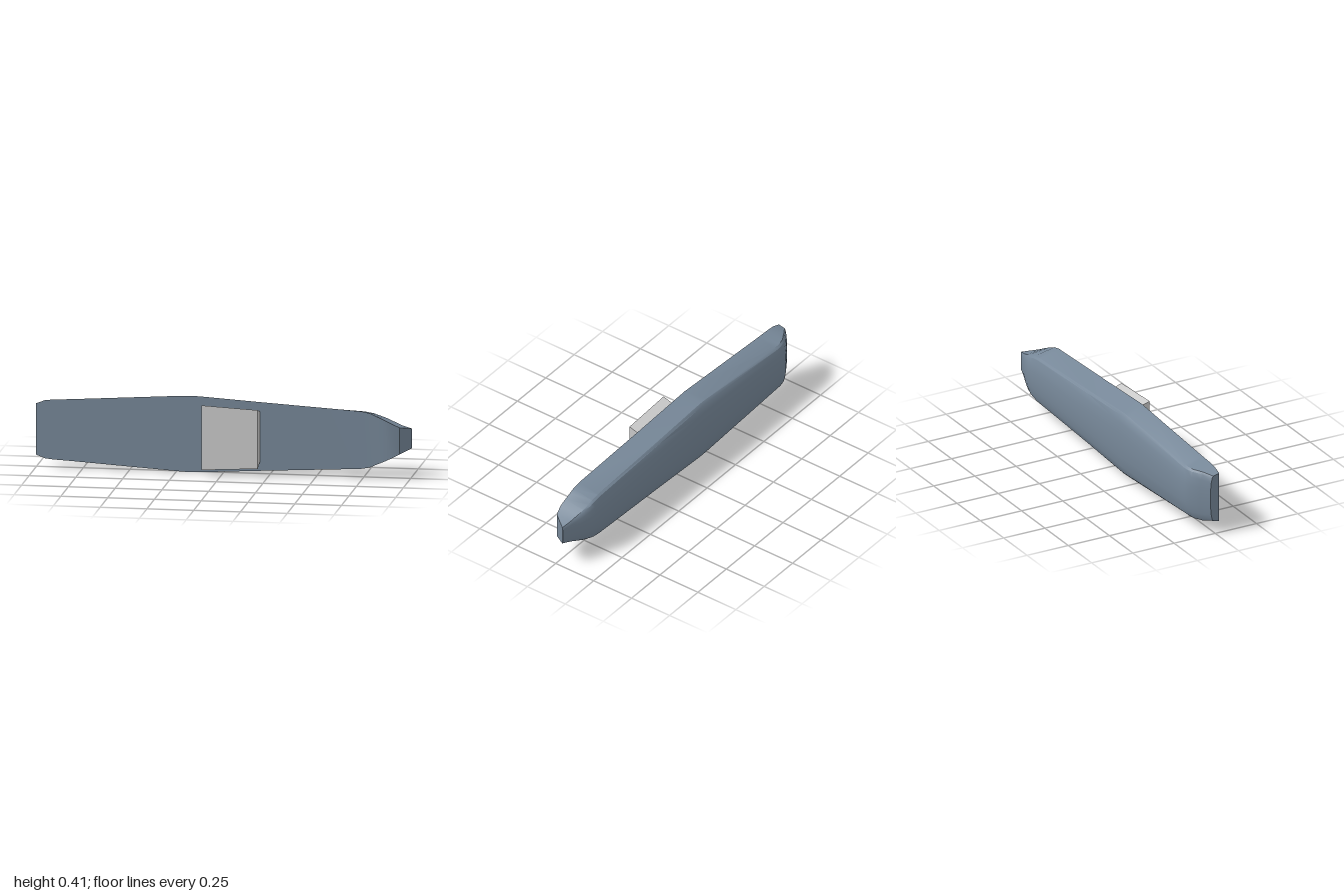
import * as THREE from 'three';
import { toCreasedNormals } from 'three/addons/utils/BufferGeometryUtils.js';

const MID = 0.206; // height of the long axis
const ARC = 8;     // segments across the rounded back

// Stations along x: [x, half height at front, front z, half height at chine, chine z, back z]
const STATIONS = [
  [-1.0, 0.138, 0.024, 0.130, -0.012, -0.030],
  [-0.95, 0.157, 0.024, 0.141, -0.045, -0.066],
  [-0.9, 0.162, 0.024, 0.141, -0.072, -0.098],
  [-0.86, 0.164, 0.024, 0.140, -0.080, -0.110],
  [-0.82, 0.166, 0.024, 0.140, -0.081, -0.112],
  [-0.22, 0.204, 0.024, 0.174, -0.081, -0.112],
  [-0.17, 0.206, 0.025, 0.176, -0.081, -0.112],
  [-0.12, 0.204, 0.025, 0.174, -0.081, -0.112],
  [0.2, 0.185, 0.030, 0.156, -0.081, -0.112],
  [0.74, 0.155, 0.040, 0.130, -0.081, -0.112],
  [0.79, 0.145, 0.041, 0.122, -0.081, -0.112],
  [0.82, 0.131, 0.042, 0.112, -0.080, -0.110],
  [0.86, 0.114, 0.043, 0.099, -0.077, -0.099],
  [0.9, 0.095, 0.044, 0.084, -0.068, -0.085],
  [0.945, 0.072, 0.034, 0.067, -0.057, -0.067],
  [1.0, 0.053, -0.044, 0.051, -0.045, -0.047],
];

// One cross-section: flat front, slanted sides, elliptical back
function section([x, h, zf, c, zc, zb]) {
  const ring = [[x, MID + h, zf], [x, MID - h, zf]];
  for (let i = 0; i <= ARC; i++) {
    const t = (i / ARC) * Math.PI;
    ring.push([x, MID - c * Math.cos(t), zc + (zb - zc) * Math.sin(t)]);
  }
  return ring;
}

// Skin a list of equal-length rings and cap both ends
function loft(rings, crease) {
  const n = rings[0].length;
  const index = [];
  for (let i = 0; i < rings.length - 1; i++) {
    for (let j = 0; j < n; j++) {
      const a = i * n + j, b = i * n + (j + 1) % n;
      index.push(a, b, b + n, a, b + n, a + n);
    }
  }
  const last = (rings.length - 1) * n;
  for (let j = 1; j < n - 1; j++) {
    index.push(0, j + 1, j, last, last + j, last + j + 1);
  }
  const geometry = new THREE.BufferGeometry();
  geometry.setAttribute('position', new THREE.Float32BufferAttribute(rings.flat(2), 3));
  geometry.setIndex(index);
  return toCreasedNormals(geometry, crease);
}

export function createModel() {
  const group = new THREE.Group();

  // Long tapered hull
  const hull = new THREE.Mesh(
    loft(STATIONS.map(section), 0.5),
    new THREE.MeshStandardMaterial({ color: 0x778899 })
  );
  hull.name = 'hull';
  group.add(hull);

  // Mounting block, flaring outward and narrowing toward +x
  const blockSection = (x, h) => [
    [x, MID + h, 0.112], [x, MID - h, 0.112],
    [x, MID - h + 0.028, 0.018], [x, MID + h - 0.028, 0.018],
  ];
  const block = new THREE.Mesh(
    loft([blockSection(-0.1, 0.174), blockSection(0.2, 0.158)], 0.3),
    new THREE.MeshStandardMaterial({ color: 0xcccccc })
  );
  block.name = 'mountingBlock';
  group.add(block);

  return group;
}
